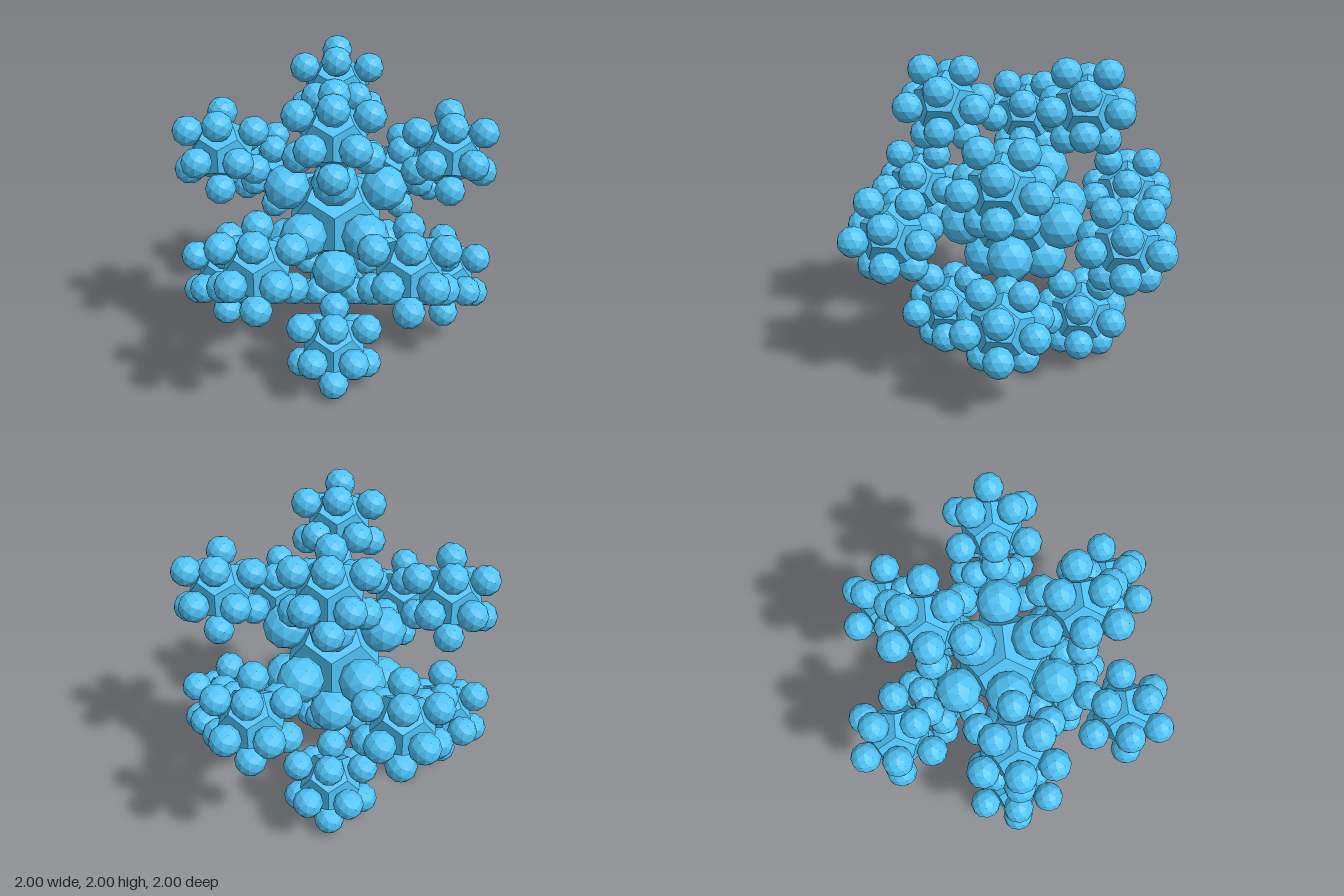
import * as THREE from 'three';

const material = new THREE.MeshStandardMaterial({ color: 0x4fc3f7, flatShading: true });

// The twelve five-fold directions, each with a long component of 1.
function directions() {
  const s = (Math.sqrt(5) - 1) / 2;
  const list = [];
  for (const p of [1, -1]) {
    for (const q of [s, -s]) {
      list.push(new THREE.Vector3(0, p, q), new THREE.Vector3(p, q, 0), new THREE.Vector3(q, 0, p));
    }
  }
  return list;
}

const DIRS = directions();

// A dodecahedral hub with a faceted ball on each of its twelve faces.
function makeCluster(name, hubRadius, reach, ballRadius) {
  const group = new THREE.Group();
  group.name = name;

  const hub = new THREE.Mesh(new THREE.DodecahedronGeometry(hubRadius), material);
  hub.name = name + 'Hub';
  group.add(hub);

  const ballGeometry = new THREE.IcosahedronGeometry(ballRadius, 1);
  for (const dir of DIRS) {
    const ball = new THREE.Mesh(ballGeometry, material);
    ball.name = name + 'Ball';
    ball.position.copy(dir).multiplyScalar(reach);
    group.add(ball);
  }
  return group;
}

export function createModel() {
  const model = new THREE.Group();
  model.name = 'fractalBallCluster';

  // Large core cluster in the middle
  const core = makeCluster('core', 0.3, 0.304, 0.146);
  core.position.y = 1;
  model.add(core);

  // Twelve smaller copies, one beyond each core ball
  const satellite = makeCluster('satellite', 0.2, 0.203, 0.096);
  for (const dir of DIRS) {
    const copy = satellite.clone();
    copy.position.copy(dir).multiplyScalar(0.701);
    copy.position.y += 1;
    model.add(copy);
  }
  return model;
}
